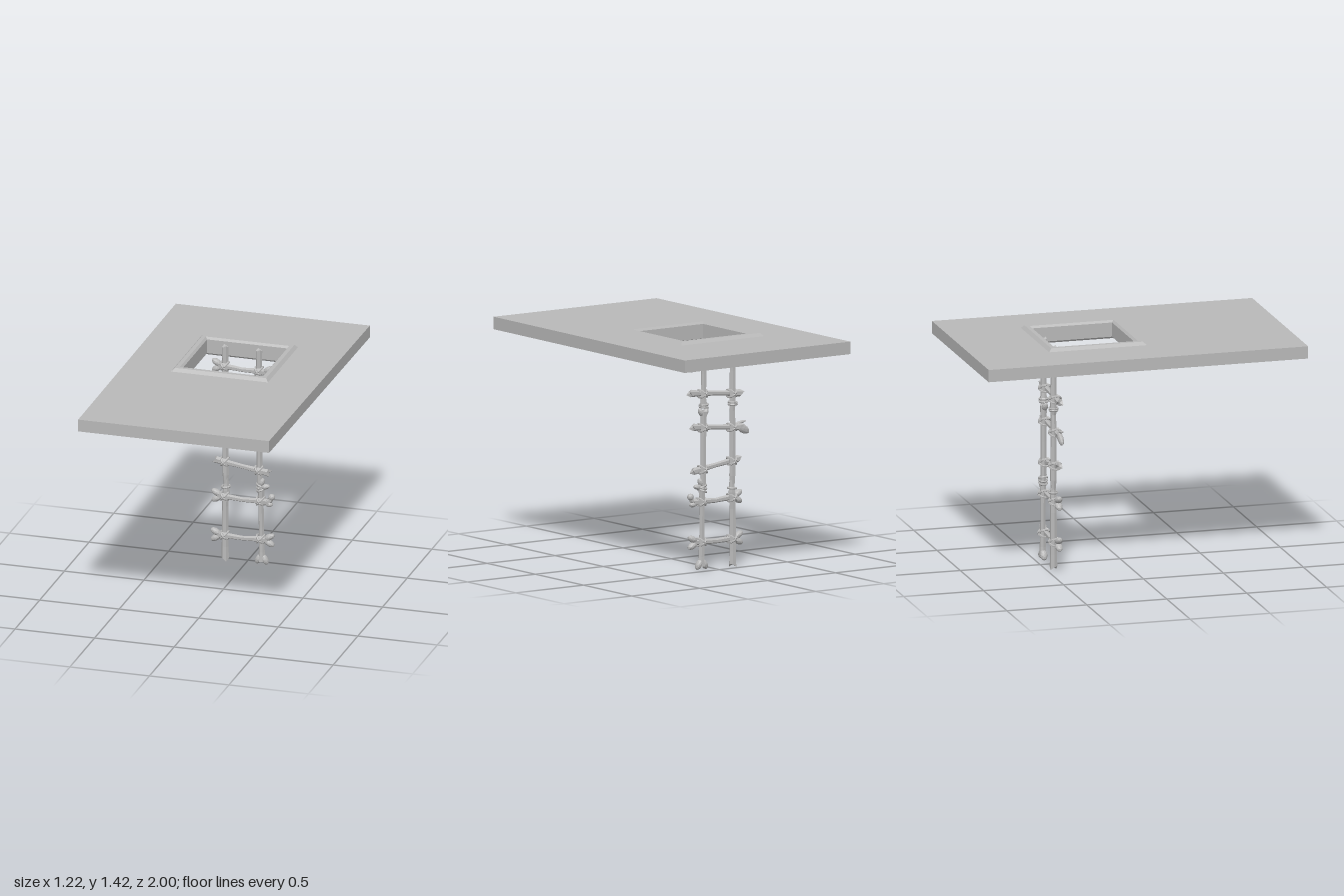
import * as THREE from 'three';

const RAIL_Z = -0.455, RUNG_Z = -0.437;
const stone = new THREE.MeshStandardMaterial({ color: 0xb8b8b8, flatShading: true });
stone.name = 'grey';

function add(parent, name, geo, x = 0, y = 0, z = 0) {
  const mesh = new THREE.Mesh(geo, stone);
  mesh.name = name;
  mesh.position.set(x, y, z);
  parent.add(mesh);
  return mesh;
}

// Faceted shaft through sections [x, y, radius, jag]; jag splinters the ring along the shaft
function shaft(sections, z, sides = 6) {
  const first = sections[0], last = sections[sections.length - 1];
  const axis = new THREE.Vector3(last[0] - first[0], last[1] - first[1], 0).normalize();
  const u = new THREE.Vector3(0, 0, 1), v = axis.clone().cross(u);
  const pos = [], idx = [];
  for (const [x, y, r, jag = 0] of sections) {
    for (let j = 0; j < sides; j++) {
      const a = (j + 0.5) / sides * Math.PI * 2;
      const p = new THREE.Vector3(x, y, z).addScaledVector(u, r * Math.cos(a))
        .addScaledVector(v, r * Math.sin(a)).addScaledVector(axis, j % 3 === 0 ? jag : -jag * 0.4);
      pos.push(p.x, p.y, p.z);
    }
  }
  const n = sections.length, c0 = n * sides, c1 = c0 + 1;
  pos.push(first[0], first[1], z, last[0], last[1], z);
  for (let j = 0; j < sides; j++) {
    const k = (j + 1) % sides;
    for (let i = 0; i < n - 1; i++) {
      const a = i * sides + j, b = i * sides + k;
      idx.push(a, b, a + sides, b, b + sides, a + sides);
    }
    idx.push(c0, k, j, c1, c0 - sides + j, c0 - sides + k);
  }
  const g = new THREE.BufferGeometry();
  g.setAttribute('position', new THREE.Float32BufferAttribute(pos, 3));
  g.setIndex(idx);
  g.computeVertexNormals();
  return g;
}

// Pair of rounded lobes splayed off a bone end; angle is the outward direction
function knuckle(parent, x, y, z, angle, size = 1) {
  for (const s of [-1, 1]) {
    const g = new THREE.IcosahedronGeometry(1, 1);
    g.scale(0.036 * size, 0.02 * size, 0.023 * size);
    g.rotateZ(s * 0.5);
    g.translate(0, s * 0.019 * size, 0);
    g.rotateZ(angle);
    add(parent, 'knuckle', g, x, y, z);
  }
}

// Oval cord loop lying across the shaft direction, tilted in the front plane
function loop(parent, name, x, y, z, tilt, rx, rz, cord = 0.007) {
  const g = new THREE.TorusGeometry(1, 0.2, 5, 10);
  g.scale(rx, rz, cord / 0.2);
  g.rotateX(Math.PI / 2);
  g.rotateZ(tilt);
  add(parent, name, g, x, y, z);
}

export function createModel() {
  const model = new THREE.Group();

  // Ceiling slab with the hatch opening
  const slab = new THREE.Shape([[-0.61, -1], [0.61, -1], [0.597, 1], [-0.603, 1]]
    .map(([x, z]) => new THREE.Vector2(x, z)));
  slab.holes.push(new THREE.Path([[-0.27, -0.498], [-0.27, 0.042], [0.27, 0.042], [0.27, -0.498]]
    .map(([x, z]) => new THREE.Vector2(x, z))));
  const slabGeo = new THREE.ExtrudeGeometry(slab, { depth: 0.076, bevelEnabled: false });
  slabGeo.rotateX(Math.PI / 2);
  add(model, 'ceilingSlab', slabGeo, 0, 1.402, 0);

  // Bevelled square frame: a closed profile turned in four steps
  const profile = [[0.305, 1.326], [0.305, 1.402], [0.287, 1.421], [0.262, 1.421], [0.25, 1.408],
    [0.25, 1.32], [0.262, 1.308], [0.287, 1.308], [0.305, 1.326]]
    .map(([d, y]) => new THREE.Vector2(d * Math.SQRT2, y));
  const frameGeo = new THREE.LatheGeometry(profile, 4);
  frameGeo.rotateY(Math.PI / 4);
  add(model, 'hatchFrame', frameGeo, -0.001, 0, -0.228);

  const ladder = new THREE.Group();
  ladder.name = 'boneLadder';
  model.add(ladder);

  // Left-hand pole of the ladder: three splintered bones
  add(ladder, 'railBone', shaft([[-0.13, 0.02, 0.024, -0.014], [-0.131, 0.1, 0.021],
    [-0.13, 0.36, 0.02], [-0.124, 0.46, 0.021], [-0.122, 0.58, 0.01, 0.02]], RAIL_Z));
  add(ladder, 'railBone', shaft([[-0.126, 0.49, 0.014, -0.02], [-0.127, 0.56, 0.02],
    [-0.128, 0.66, 0.019], [-0.13, 0.88, 0.019], [-0.124, 1.0, 0.016, 0.02]], RAIL_Z));
  add(ladder, 'railBone', shaft([[-0.122, 0.92, 0.012, -0.02], [-0.128, 0.99, 0.02],
    [-0.13, 1.2, 0.019], [-0.13, 1.385, 0.021, 0.008]], RAIL_Z));

  // Right-hand pole: knuckled bones lashed end to end
  add(ladder, 'railBone', shaft([[0.1, 0.03, 0.024], [0.1, 0.09, 0.019], [0.097, 0.25, 0.016],
    [0.095, 0.4, 0.017], [0.098, 0.5, 0.021]], RAIL_Z));
  knuckle(ladder, 0.1, 0.043, RAIL_Z, -Math.PI / 2);
  knuckle(ladder, 0.112, 0.525, RAIL_Z + 0.006, 0.7, 0.85);
  add(ladder, 'railBone', shaft([[0.088, 0.5, 0.018, -0.015], [0.086, 0.6, 0.018],
    [0.086, 0.75, 0.018], [0.084, 0.9, 0.019], [0.084, 0.97, 0.022]], RAIL_Z));
  knuckle(ladder, 0.084, 0.965, RAIL_Z + 0.004, Math.PI / 2, 0.85);
  add(ladder, 'railBone', shaft([[0.08, 0.99, 0.024], [0.085, 1.05, 0.018],
    [0.083, 1.2, 0.017], [0.083, 1.385, 0.02, 0.008]], RAIL_Z));

  // Rungs: [left x, y, right x, y, left end knuckled, right end knuckled]
  const rungs = [
    [-0.175, 0.175, 0.145, 0.177, true, true],
    [-0.17, 0.428, 0.145, 0.42, true, false],
    [-0.185, 0.658, 0.148, 0.608, false, false],
    [-0.185, 0.85, 0.15, 0.877, false, false],
    [-0.2, 1.055, 0.17, 1.085, false, false],
    [-0.168, 1.267, 0.14, 1.255, true, true]];
  rungs.forEach(([x0, y0, x1, y1, k0, k1], i) => {
    const at = t => [x0 + (x1 - x0) * t, y0 + (y1 - y0) * t];
    const sag = k0 ? 0.006 : 0;
    const mid = at(0.5);
    add(ladder, 'rung', shaft([
      [...at(0), k0 ? 0.02 : 0.023, k0 ? 0 : -0.014], [...at(0.16), 0.018],
      [mid[0], mid[1] - sag, 0.0145], [...at(0.84), 0.018],
      [...at(1), k1 ? 0.02 : 0.023, k1 ? 0 : 0.014]], RUNG_Z));
    if (k0) knuckle(ladder, x0 - 0.008, y0, RUNG_Z, Math.PI);
    if (k1) knuckle(ladder, x1 + 0.008, y1, RUNG_Z, 0);
    // Crossed lashings where the rung meets each pole
    for (const rx of [-0.129, i < 2 ? 0.096 : 0.086]) {
      const y = y0 + (y1 - y0) * (rx - x0) / (x1 - x0);
      for (const s of [-1, 1]) loop(ladder, 'lashing', rx, y, -0.445, s * 0.8, 0.032, 0.037);
    }
  });

  // Upturned ball joint on the second rung
  add(ladder, 'jointNeck', shaft([[0.135, 0.418, 0.018], [0.158, 0.43, 0.016], [0.167, 0.45, 0.015]], RUNG_Z));
  const ball = new THREE.IcosahedronGeometry(0.021, 1);
  add(ladder, 'jointBall', ball, 0.168, 0.455, RUNG_Z);
  add(ladder, 'jointLobe', ball.clone().scale(1.1, 0.8, 1), 0.152, 0.407, RUNG_Z);

  // Flared blade bone on the end of the fourth rung
  const blade = new THREE.IcosahedronGeometry(1, 1);
  blade.scale(0.056, 0.027, 0.018);
  blade.rotateZ(0.55);
  add(ladder, 'bladeBone', blade, -0.215, 0.838, RUNG_Z);
  const spur = new THREE.IcosahedronGeometry(1, 1);
  spur.scale(0.047, 0.009, 0.012);
  spur.rotateZ(-0.2);
  add(ladder, 'bladeSpur', spur, -0.2, 0.874, RUNG_Z + 0.006);
  add(ladder, 'bladeNeck', shaft([[-0.21, 0.85, 0.018], [-0.15, 0.852, 0.019]], RUNG_Z));

  // Cord rings around the spliced poles
  for (const [x, y, tilt] of [[-0.13, 0.995, 0], [-0.13, 1.007, 0.1], [-0.125, 0.485, 0.1],
    [0.083, 0.997, 0.1], [0.083, 1.012, -0.1], [0.094, 0.488, 0.35], [0.094, 0.505, 0.2], [0.094, 0.52, -0.3]])
    loop(ladder, 'spliceCord', x, y, RAIL_Z, tilt, 0.026, 0.026);

  return model;
}
